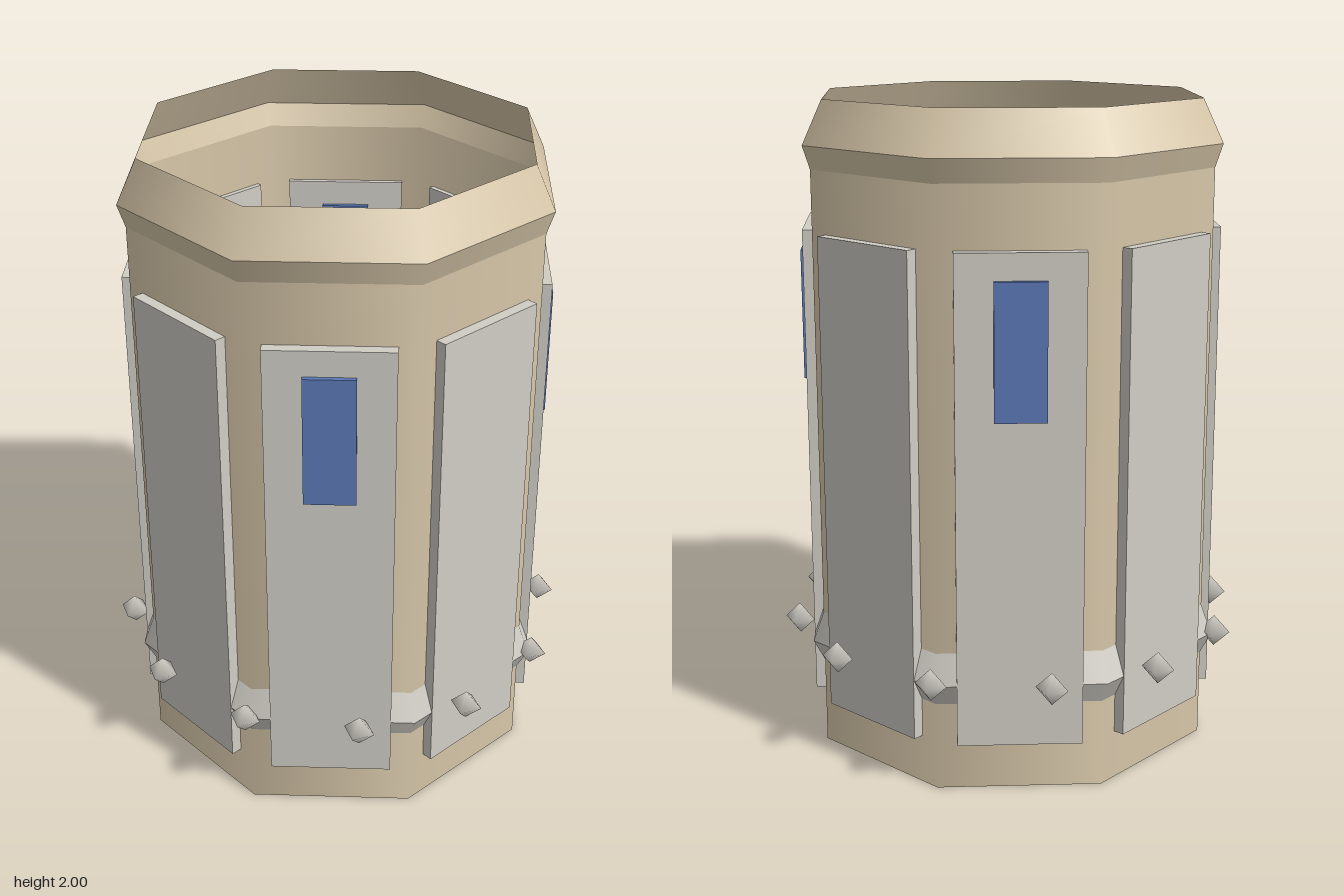
import * as THREE from 'three';

const SIDES = 8;

export function createModel() {
  const model = new THREE.Group();
  model.name = 'octagonalTower';

  const sand = new THREE.MeshStandardMaterial({ color: 0xd9c9ab, side: THREE.DoubleSide });
  sand.name = 'sand';
  const stone = new THREE.MeshStandardMaterial({ color: 0xd0cdc5, side: THREE.DoubleSide });
  stone.name = 'paleStone';
  const blue = new THREE.MeshStandardMaterial({ color: 0x5b78b6 });
  blue.name = 'windowBlue';

  function add(geometry, material, name, parent = model) {
    const mesh = new THREE.Mesh(geometry, material);
    mesh.name = name;
    parent.add(mesh);
    return mesh;
  }

  // Open eight-sided ring between two heights, with a corner facing front
  function ring(r0, y0, r1, y1, material, name) {
    const geometry = new THREE.CylinderGeometry(r1, r0, y1 - y0, SIDES, 1, true);
    add(geometry, material, name).position.y = (y0 + y1) / 2;
  }

  // Hollow wall with a flared rim that closes in at the top
  ring(0.64, 0, 0.64, 1.8, sand, 'wall');
  ring(0.64, 1.8, 0.663, 1.87, sand, 'rimFlare');
  ring(0.663, 1.87, 0.6, 2, sand, 'rimSlope');

  // Ridged band near the base, showing between the panels
  ring(0.64, 0.27, 0.675, 0.338, stone, 'bandLower');
  ring(0.675, 0.338, 0.64, 0.43, stone, 'bandUpper');

  // One panel through each face, with a window on every other one
  const panelGeometry = new THREE.BoxGeometry(0.37, 1.465, 0.05);
  const windowGeometry = new THREE.BoxGeometry(0.15, 0.4, 0.08);
  for (let i = 0; i < SIDES; i++) {
    const face = new THREE.Group();
    face.name = 'face' + (i + 1);
    face.rotation.y = ((i + 0.5) / SIDES) * Math.PI * 2;
    model.add(face);
    add(panelGeometry, stone, 'panel', face).position.set(0, 0.883, 0.6);
    if (i % 2 === 0) add(windowGeometry, blue, 'window', face).position.set(0, 1.337, 0.6);
  }

  // Twelve axis-aligned diamond studs around the band
  const studGeometry = new THREE.SphereGeometry(0.05, 4, 2);
  for (let i = 0; i < 12; i++) {
    const a = (i / 12) * Math.PI * 2;
    add(studGeometry, stone, 'stud').position.set(Math.sin(a) * 0.683, 0.35, Math.cos(a) * 0.683);
  }

  return model;
}
